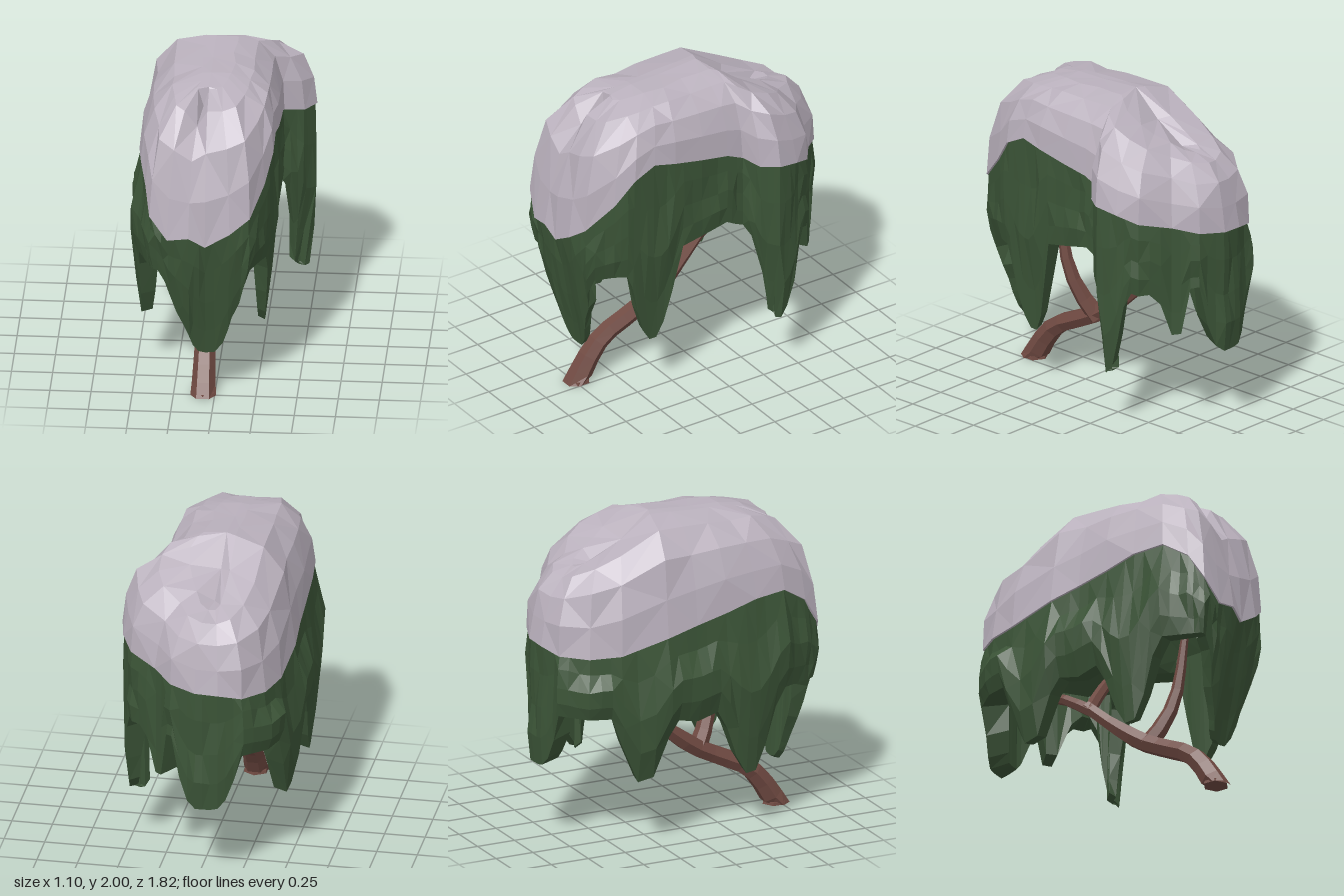
import * as THREE from 'three';

const snowMat = new THREE.MeshStandardMaterial({ color: 0xbab1bd, flatShading: true, side: THREE.DoubleSide });
const leafMat = new THREE.MeshStandardMaterial({ color: 0x3b5437, flatShading: true, side: THREE.DoubleSide });
const barkMat = new THREE.MeshStandardMaterial({ color: 0x704a42, flatShading: true });
snowMat.name = 'snow';
leafMat.name = 'foliage';
barkMat.name = 'bark';

// Crown outline, counterclockwise from the front: x, z, snow line height, skirt height
const OUTLINE = [
  [-0.05, 0.9, 1.06, 0.82], [0.1, 0.9, 1.15, 0.82], [0.22, 0.86, 1.24, 0.86], [0.3, 0.7, 1.4, 0.88],
  [0.345, 0.58, 1.56, 0.87], [0.35, 0.44, 1.63, 0.92], [0.36, 0.3, 1.6, 0.98], [0.36, 0.1, 1.56, 1.02],
  [0.36, -0.08, 1.53, 1.06], [0.36, -0.19, 1.48, 1.0], [0.48, -0.24, 1.46, 0.95], [0.55, -0.34, 1.46, 0.95],
  [0.52, -0.48, 1.43, 0.95], [0.45, -0.6, 1.38, 0.91], [0.28, -0.72, 1.34, 0.92], [0.16, -0.84, 1.3, 0.95],
  [0, -0.9, 1.28, 0.9], [-0.14, -0.89, 1.27, 0.9], [-0.28, -0.84, 1.24, 0.86], [-0.4, -0.69, 1.23, 0.85],
  [-0.46, -0.5, 1.24, 0.85], [-0.49, -0.2, 1.32, 0.8], [-0.48, 0, 1.37, 0.76], [-0.48, 0.2, 1.42, 0.82],
  [-0.48, 0.4, 1.48, 0.85], [-0.46, 0.6, 1.5, 0.88], [-0.42, 0.76, 1.4, 0.88], [-0.39, 0.86, 1.24, 0.88],
  [-0.28, 0.9, 1.1, 0.85], [-0.15, 0.91, 1.12, 0.82],
];

// Hanging strands: x, z, tip height, half width, bluntness
const STRANDS = [
  [-0.04, 0.9, 0.28, 0.27, 1.3], [0.35, 0.42, 0.37, 0.15, 1.4], [0.54, -0.34, 0.36, 0.17, 2.2],
  [0.27, -0.73, 0.64, 0.06, 2.5], [-0.06, -0.9, 0.5, 0.19, 2.8], [-0.48, -0.36, 0.42, 0.16, 1.6],
  [-0.48, 0.36, 0.37, 0.17, 1.4],
];

// Ridge of the crown: z, height
const RIDGE = [[-0.5, 1.72], [-0.3, 1.84], [-0.12, 2.0], [0.15, 1.98], [0.35, 1.975], [0.5, 1.95]];

const { lerp, clamp } = THREE.MathUtils;
const jitter = (i, k) => { const s = Math.sin(i * 127.1 + k * 311.7) * 43758.5453; return s - Math.floor(s) - 0.5; };

function ridgeHeight(z) {
  const i = Math.max(1, RIDGE.findIndex(r => z <= r[0]));
  const [z0, y0] = RIDGE[i - 1], [z1, y1] = RIDGE[i];
  return lerp(y0, y1, clamp((z - z0) / (z1 - z0), 0, 1));
}

const nearestRidge = z => RIDGE.reduce((a, b) => (Math.abs(b[0] - z) < Math.abs(a[0] - z) ? b : a));

// Outline split into smaller steps, with an outward direction at each point
function outlinePoints(split) {
  const pts = [];
  OUTLINE.forEach((a, i) => {
    const b = OUTLINE[(i + 1) % OUTLINE.length];
    for (let k = 0; k < split; k++) {
      const [x, z, snow, skirt] = a.map((v, j) => lerp(v, b[j], k / split));
      pts.push({ x, z, snow, skirt });
    }
  });
  pts.forEach((p, i) => {
    const a = pts[(i + pts.length - 1) % pts.length], b = pts[(i + 1) % pts.length];
    const dx = b.x - a.x, dz = b.z - a.z, len = Math.hypot(dx, dz);
    p.nx = -dz / len;
    p.nz = dx / len;
  });
  return pts;
}

// Surface through a stack of closed rings
function loft(rings) {
  const n = rings[0].length, index = [];
  for (let r = 0; r < rings.length - 1; r++) {
    for (let i = 0; i < n; i++) {
      const a = r * n + i, b = r * n + (i + 1) % n, c = a + n, d = b + n;
      if ((i + r) % 2) index.push(a, b, d, a, d, c);
      else index.push(a, b, c, b, d, c);
    }
  }
  const g = new THREE.BufferGeometry();
  g.setAttribute('position', new THREE.Float32BufferAttribute(rings.flat(2), 3));
  g.setIndex(index);
  const flat = g.toNonIndexed();
  flat.computeVertexNormals();
  return flat;
}

// Rounded snow cap, from the snow line in to the ridge: inward share, rise share
function snowGeometry() {
  const profile = [[0, 0], [0.04, 0.36], [0.15, 0.69], [0.38, 0.91], [0.68, 0.99]];
  const pts = outlinePoints(1);
  const rings = profile.map(([inward, rise], k) => pts.map((p, i) => {
    // the front slopes back more gently, and the left shoulder is rounder
    const front = clamp((p.z - 0.3) / 0.4, 0, 1);
    const tx = inward * (1 + 0.25 * Math.max(0, -p.nx));
    const tz = Math.min(0.95, inward * (1 + 0.5 * front));
    const up = Math.pow(rise, 1 + 0.1 * front);
    const sz = p.z * 0.55;
    const wobble = k > 0 ? jitter(i, k) * 0.025 : 0;
    return [
      lerp(p.x, -0.05, tx) + p.nx * wobble,
      lerp(p.snow, ridgeHeight(sz), up) + (k < 4 ? wobble : 0),
      lerp(p.z, sz, tz) + p.nz * wobble,
    ];
  }));
  rings.push(pts.map(p => { const [z, y] = nearestRidge(p.z * 0.55); return [-0.05, y, z]; }));
  // Short lip tucked under the edge
  rings.unshift(pts.map(p => [p.x - p.nx * 0.03, p.snow - 0.005, p.z - p.nz * 0.03]));
  return loft(rings);
}

// Hollow curtain of foliage with hanging strands
function foliageGeometry() {
  const pts = outlinePoints(3);
  pts.forEach(p => {
    p.bottom = p.skirt;
    for (const [x, z, tip, half, blunt] of STRANDS) {
      const u = Math.max(0, Math.hypot(p.x - x, p.z - z) - 0.03) / half;
      if (u < 1) p.bottom = Math.min(p.bottom, lerp(tip, p.skirt, Math.pow(u, blunt)));
    }
    p.thick = 0.045 + 0.06 * clamp((p.bottom - 0.35) / 0.5, 0, 1) + 0.07 * Math.max(0, -p.nz);
  });
  const at = (p, off, y) => [p.x + p.nx * off, y, p.z + p.nz * off];
  const tuck = (p, y) => -Math.max(0, 1.05 - y) * Math.max(0, 0.06 + 0.14 * p.nz + 0.02 * p.nx);
  const rings = [
    // ceiling and inner wall
    pts.map(p => [-0.05, 1.28, p.z * 0.5]),
    pts.map(p => [lerp(p.x, -0.05, 0.5), 1.22, p.z * 0.7]),
    pts.map(p => at(p, -0.14, Math.max(p.bottom, 1.08))),
    pts.map(p => at(p, tuck(p, p.bottom) - p.thick, p.bottom + 0.02)),
  ];
  // outer wall, from the hem up to the snow
  [0, 0.22, 0.48, 0.76, 1].forEach((t, k) => rings.push(pts.map((p, i) => {
    const y = lerp(p.bottom, p.snow, t);
    const side = p.x < -0.25 ? clamp((0.85 - p.z) / 0.25, 0, 1) * clamp((p.z + 0.95) / 0.25, 0, 1) : 0;
    const bulge = Math.sin(Math.PI * Math.min(1, t + 0.15)) * (0.01 + 0.06 * side);
    const wobble = k > 0 && k < 4 ? jitter(Math.floor(i / 2), k + 9) * 0.03 : 0;
    return at(p, tuck(p, y) + bulge + wobble - 0.012, y + (k > 0 && k < 4 ? wobble : 0));
  })));
  return loft(rings);
}

// Tapered six-sided limb along a path of [x, y, z, radius]
function limb(name, path) {
  const curve = new THREE.CatmullRomCurve3(path.map(p => new THREE.Vector3(p[0], p[1], p[2])));
  const seg = (path.length - 1) * 2, sides = 6;
  const g = new THREE.TubeGeometry(curve, seg, 1, sides);
  const pos = g.attributes.position, v = new THREE.Vector3();
  for (let r = 0; r <= seg; r++) {
    const c = curve.getPointAt(r / seg), f = r / seg * (path.length - 1);
    const k = Math.min(path.length - 2, Math.floor(f));
    const radius = lerp(path[k][3], path[k + 1][3], f - k);
    for (let s = 0; s <= sides; s++) {
      const i = r * (sides + 1) + s;
      v.fromBufferAttribute(pos, i).sub(c).multiplyScalar(radius).add(c);
      pos.setXYZ(i, v.x, Math.max(0, v.y), v.z);
    }
  }
  g.computeVertexNormals();
  return part(name, g, barkMat);
}

function part(name, geometry, material) {
  const mesh = new THREE.Mesh(geometry, material);
  mesh.name = name;
  return mesh;
}

export function createModel() {
  const tree = new THREE.Group();
  tree.name = 'snowyWeepingTree';

  // Leaning trunk and its forks
  const wood = new THREE.Group();
  wood.name = 'wood';
  wood.add(
    limb('trunk', [[-0.07, -0.04, 0.75, 0.078], [-0.07, 0.12, 0.66, 0.068], [-0.07, 0.25, 0.55, 0.06],
      [-0.06, 0.34, 0.38, 0.058], [-0.06, 0.43, 0.2, 0.06], [-0.08, 0.58, 0, 0.046], [-0.1, 0.76, -0.2, 0.04]]),
    limb('frontBranch', [[-0.06, 0.4, 0.2, 0.06], [-0.01, 0.53, 0.28, 0.045], [0.04, 0.72, 0.35, 0.032], [0.06, 1.2, 0.42, 0.02]]),
    limb('middleBranch', [[-0.1, 0.73, -0.18, 0.04], [-0.02, 0.88, -0.15, 0.036], [0.12, 1.1, -0.08, 0.032], [0.16, 1.25, -0.04, 0.02]]),
    limb('backBranch', [[-0.1, 0.72, -0.16, 0.042], [-0.09, 0.84, -0.34, 0.034], [-0.06, 0.95, -0.54, 0.028], [-0.05, 1.2, -0.64, 0.02]]),
  );
  const foot = part('trunkFoot', new THREE.CylinderGeometry(0.076, 0.08, 0.02, 6), barkMat);
  foot.position.set(-0.07, 0.01, 0.725);
  wood.add(foot);
  tree.add(wood);

  tree.add(part('foliageCurtain', foliageGeometry(), leafMat));
  tree.add(part('snowCap', snowGeometry(), snowMat));
  return tree;
}
